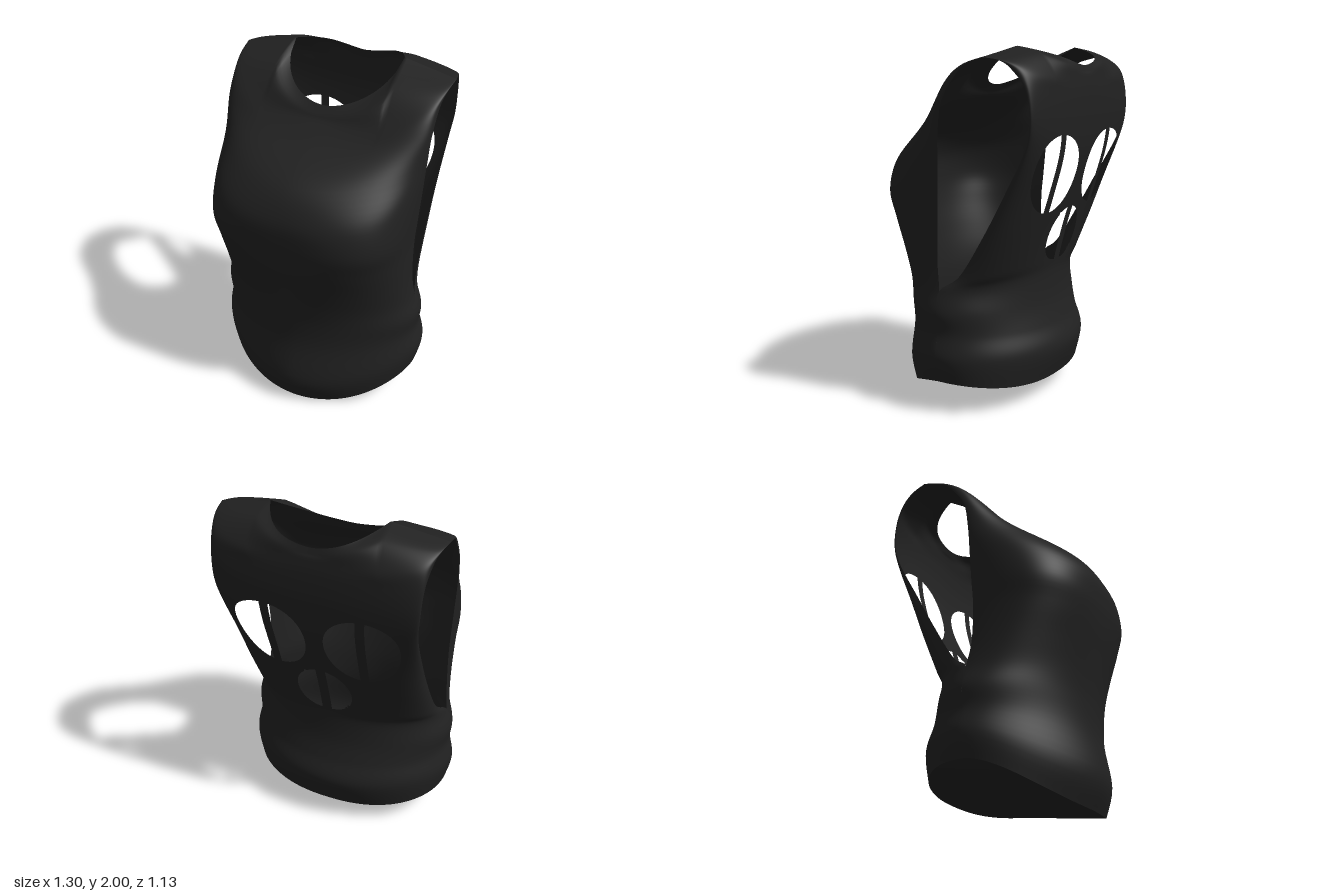
import * as THREE from 'three';

// Row: [y at centre, y at side, half width, z at centre, z at side, roundness]
const FRONT = [
  [0, 0.18, 0.62, 0.46, 0.03, 1.85],
  [0.17, 0.32, 0.648, 0.52, 0.03, 1.7],
  [0.42, 0.45, 0.622, 0.475, 0.03, 1.8],
  [0.58, 0.57, 0.63, 0.47, 0.03, 1.85],
  [0.72, 0.69, 0.597, 0.485, 0.03, 2.0],
  [0.88, 0.84, 0.58, 0.515, 0.05, 2.25],
  [1.05, 1.05, 0.576, 0.55, 0.05, 2.75],
  [1.2, 1.2, 0.583, 0.565, 0.04, 3.15],
  [1.35, 1.38, 0.594, 0.55, 0.03, 2.5],
  [1.5, 1.55, 0.604, 0.45, 0.02, 1.8],
  [1.62, 1.72, 0.61, 0.22, -0.01, 1.9],
  [1.71, 1.85, 0.613, 0.1, -0.1, 2.2],
];
const BACK = [
  [0.12, 0.18, 0.62, -0.39, 0.03, 2.25],
  [0.3, 0.32, 0.648, -0.44, 0.03, 2.0],
  [0.44, 0.45, 0.622, -0.395, 0.03, 2.0],
  [0.57, 0.57, 0.63, -0.365, 0.03, 1.95],
  [0.72, 0.69, 0.597, -0.36, 0.03, 1.95],
  [0.82, 0.78, 0.56, -0.375, -0.08, 2.15],
  [1.0, 1.0, 0.55, -0.42, -0.22, 2.5],
  [1.2, 1.23, 0.55, -0.48, -0.35, 2.6],
  [1.42, 1.47, 0.56, -0.54, -0.48, 2.6],
  [1.6, 1.62, 0.575, -0.56, -0.52, 2.6],
  [1.75, 1.78, 0.585, -0.56, -0.5, 2.6],
  [1.84, 1.88, 0.6, -0.55, -0.43, 2.6],
];

// Openings in the back, as ellipses in (across, row) space, each keeping a strap down its middle
const HOLES = [
  { c: 0.475, v: 7.6, rg: 0.38, rv: 1.03 },
  { c: -0.475, v: 7.6, rg: 0.38, rv: 1.03 },
  { c: 0, v: 5.74, rg: 0.3, rv: 0.87 },
];
const STRAP = 0.04;
const COLS = 120;
const CORNER = Math.sin(0.2 * Math.PI); // where the neckline meets the shoulder

// Neckline and shoulder seam
function topPoint(g, front) {
  const a = Math.abs(g), s = Math.sign(g);
  if (a > CORNER) {
    const t = (a - CORNER) / (1 - CORNER);
    return [s * (0.33 + 0.305 * t), 2 - 0.06 * t, -0.3 + 0.02 * t];
  }
  const f = a / CORNER, e = 1 - Math.sqrt(1 - f * f);
  return front
    ? [s * 0.33 * f, 1.79 + 0.21 * e ** 0.9, 0.03 - 0.33 * e]
    : [s * 0.33 * f, 1.9 + 0.1 * f ** 1.6, -0.53 + 0.23 * f ** 3.5];
}

// A point of one row, g running -1..1 across the panel
function rowPoint(rows, i, g, front) {
  const n = rows.length, a = Math.min(1, Math.abs(g));
  if (i > n) return topPoint(g, front);
  if (i === n) { // yoke row, rounded over the shoulder
    const p = rowPoint(rows, n - 1, g, front), q = topPoint(g, front);
    const b = 0.035 * Math.min(1, (a / CORNER) ** 2) * (1 - 0.6 * a ** 4);
    return [(p[0] + q[0]) / 2, (p[1] + q[1]) / 2 + b, (p[2] + q[2]) / 2 + (front ? b : -b)];
  }
  const [yC, yE, w, zC, zE, p] = rows[i];
  return [w * g, yC + (yE - yC) * a ** 2.4, zE + (zC - zE) * (1 - a ** p) ** (1 / p)];
}

// Smooth curve through the rows
function surface(rows, g, v, front) {
  const last = rows.length + 1;
  const i = Math.min(last - 1, Math.floor(v)), t = v - i;
  const [a, b, c, d] = [-1, 0, 1, 2].map(k => rowPoint(rows, Math.max(0, Math.min(last, i + k)), g, front));
  return b.map((_, k) => b[k] + 0.5 * t * (c[k] - a[k]
    + t * (2 * a[k] - 5 * b[k] + 4 * c[k] - d[k] + t * (3 * (b[k] - c[k]) + d[k] - a[k]))));
}

const across = i => Math.sin((i / COLS - 0.5) * Math.PI);
const reach = (h, g, v) => Math.hypot((g - h.c) / h.rg, (v - h.v) / h.rv);

function geometry(positions, index) {
  const geo = new THREE.BufferGeometry();
  geo.setAttribute('position', new THREE.Float32BufferAttribute(positions, 3));
  geo.setIndex(index);
  geo.computeVertexNormals();
  return geo;
}

function panel(rows, front, perRow, holes) {
  const last = rows.length + 1, nv = last * perRow;
  const params = [], positions = [], index = [];
  for (let j = 0; j <= nv; j++) {
    for (let i = 0; i <= COLS; i++) {
      let g = across(i), v = j / perRow;
      // pull nearby points onto the rim of an opening
      for (const h of holes) {
        const e = reach(h, g, v);
        if (Math.abs(e - 1) < 0.06) {
          g = h.c + (g - h.c) / e;
          v = h.v + (v - h.v) / e;
        }
      }
      params.push([g, v]);
      positions.push(...surface(rows, g, v, front));
    }
  }
  const addTriangle = (tri, mid) => {
    const g = tri.reduce((s, k) => s + params[k][0], 0) / 3;
    const v = tri.reduce((s, k) => s + params[k][1], 0) / 3;
    if (holes.some(h => reach(h, g, v) < 0.995 && Math.abs(mid - h.c) > STRAP)) return;
    index.push(...(front ? tri : [tri[0], tri[2], tri[1]]));
  };
  for (let j = 0; j < nv; j++) {
    for (let i = 0; i < COLS; i++) {
      const a = j * (COLS + 1) + i, b = a + 1, c = b + COLS + 1, d = c - 1;
      const mid = (across(i) + across(i + 1)) / 2;
      addTriangle([a, b, c], mid);
      addTriangle([a, c, d], mid);
    }
  }
  return geometry(positions, index);
}

// Surface closing the hem, ruled from front to back
function hemCap() {
  const positions = [], index = [];
  for (let i = 0; i <= COLS; i++) {
    positions.push(...rowPoint(FRONT, 0, across(i), true), ...rowPoint(BACK, 0, across(i), false));
    if (i < COLS) {
      const a = 2 * i;
      index.push(a, a + 1, a + 2, a + 1, a + 3, a + 2);
    }
  }
  return geometry(positions, index);
}

export function createModel() {
  const cloth = new THREE.MeshStandardMaterial({ color: 0x212121, side: THREE.DoubleSide });
  cloth.name = 'black cloth';
  const group = new THREE.Group();
  group.name = 'sleevelessTop';
  const add = (name, geo) => {
    const mesh = new THREE.Mesh(geo, cloth);
    mesh.name = name;
    group.add(mesh);
  };
  add('frontPanel', panel(FRONT, true, 5, []));
  add('backPanel', panel(BACK, false, 10, HOLES));
  add('hemCap', hemCap());
  return group;
}
